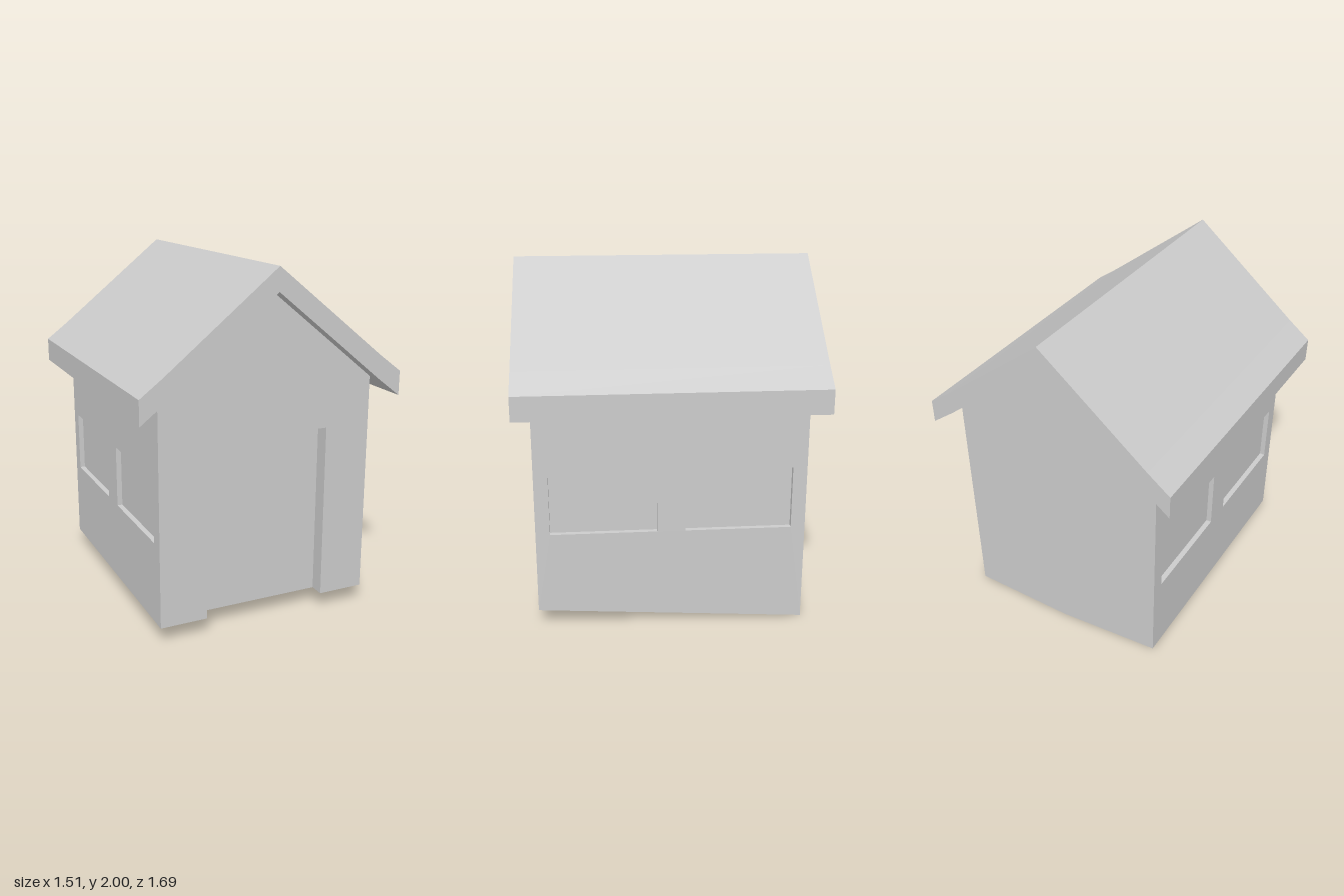
import * as THREE from 'three';

const mat = new THREE.MeshStandardMaterial({ color: 0xcccccc, flatShading: true, side: THREE.DoubleSide });
const HW = 0.627, HD = 0.75;          // half width and half depth of the walls
const EAVE = 1.36, RIDGE = 1.87, BASE = 0.1;

function mesh(name, geometry) {
  const m = new THREE.Mesh(geometry, mat);
  m.name = name;
  return m;
}

function outline(points) {
  return new THREE.Shape(points.map(([x, y]) => new THREE.Vector2(x, y)));
}

function rectHole(cx, cy, w, h) {
  const x = w / 2, y = h / 2;
  return new THREE.Path([[-x, -y], [-x, y], [x, y], [x, -y]].map(([a, b]) => new THREE.Vector2(cx + a, cy + b)));
}

// Lining running inward (-z) from an opening, with a set-back panel inside it
function recess(name, w, h, setBack, depth, sillStart) {
  const g = new THREE.Group();
  g.name = name;
  const panel = mesh(name + 'Panel', new THREE.PlaneGeometry(w, h));
  panel.position.z = -setBack;
  g.add(panel);
  for (const s of [-1, 1]) {
    const jamb = mesh(name + 'Jamb', new THREE.PlaneGeometry(depth, h).rotateY(-s * Math.PI / 2));
    jamb.position.set(s * w / 2, 0, -depth / 2);
    g.add(jamb);
  }
  const header = mesh(name + 'Header', new THREE.PlaneGeometry(w, depth).rotateX(Math.PI / 2));
  header.position.set(0, h / 2, -depth / 2);
  const sill = mesh(name + 'Sill', new THREE.PlaneGeometry(w, depth - sillStart).rotateX(-Math.PI / 2));
  sill.position.set(0, -h / 2, -(depth + sillStart) / 2);
  g.add(header, sill);
  return g;
}

export function createModel() {
  const model = new THREE.Group();
  model.name = 'house';

  // Front wall with a doorway open at the bottom
  const doorW = 0.716, doorTop = 1.097;
  const front = mesh('frontWall', new THREE.ShapeGeometry(outline([
    [-HW, BASE], [-doorW / 2, BASE], [-doorW / 2, doorTop], [doorW / 2, doorTop],
    [doorW / 2, BASE], [HW, BASE], [HW, EAVE], [0, RIDGE], [-HW, EAVE],
  ])));
  front.position.z = HD;
  const door = recess('door', doorW, doorTop - BASE, 0.085, 0.23, 0.085);
  door.position.set(0, (doorTop + BASE) / 2, HD);
  model.add(front, door);

  // Back wall with its uneven lower edge
  const back = mesh('backWall', new THREE.ShapeGeometry(outline([
    [-HW, 0.095], [0, 0.015], [HW, 0], [HW, EAVE], [0, RIDGE], [-HW, EAVE],
  ]).clone()).rotateY(0));
  back.position.z = -HD;
  model.add(back);

  // Side walls, each with two windows
  const winW = 0.592, winH = 0.355, winY = 0.74, winZ = 0.375;
  for (const side of [-1, 1]) {
    const backBase = side > 0 ? 0 : 0.095;
    const shape = outline([[-HD, backBase], [HD, BASE], [HD, EAVE], [-HD, EAVE]]);
    for (const z of [-winZ, winZ]) shape.holes.push(rectHole(z, winY, winW, winH));
    const wall = mesh(side > 0 ? 'leftWall' : 'rightWall', new THREE.ShapeGeometry(shape).rotateY(-Math.PI / 2));
    wall.position.x = side * HW;
    model.add(wall);
    for (const z of [-winZ, winZ]) {
      const win = recess('window', winW, winH, 0.03, 0.1, 0);
      win.position.set(side * HW, winY, z);
      win.rotation.y = side * Math.PI / 2;
      model.add(win);
    }
  }

  // Gabled roof slab with a slight kick at the eaves
  const roofLength = 1.686;
  const roof = mesh('roof', new THREE.ExtrudeGeometry(outline([
    [-0.757, 1.26], [-HW, EAVE], [0, RIDGE], [HW, EAVE], [0.757, 1.26],
    [0.757, 1.397], [HW, 1.495], [0, 2], [-HW, 1.495], [-0.757, 1.397],
  ]), { depth: roofLength, bevelEnabled: false }));
  roof.position.z = -roofLength / 2;
  model.add(roof);

  return model;
}
